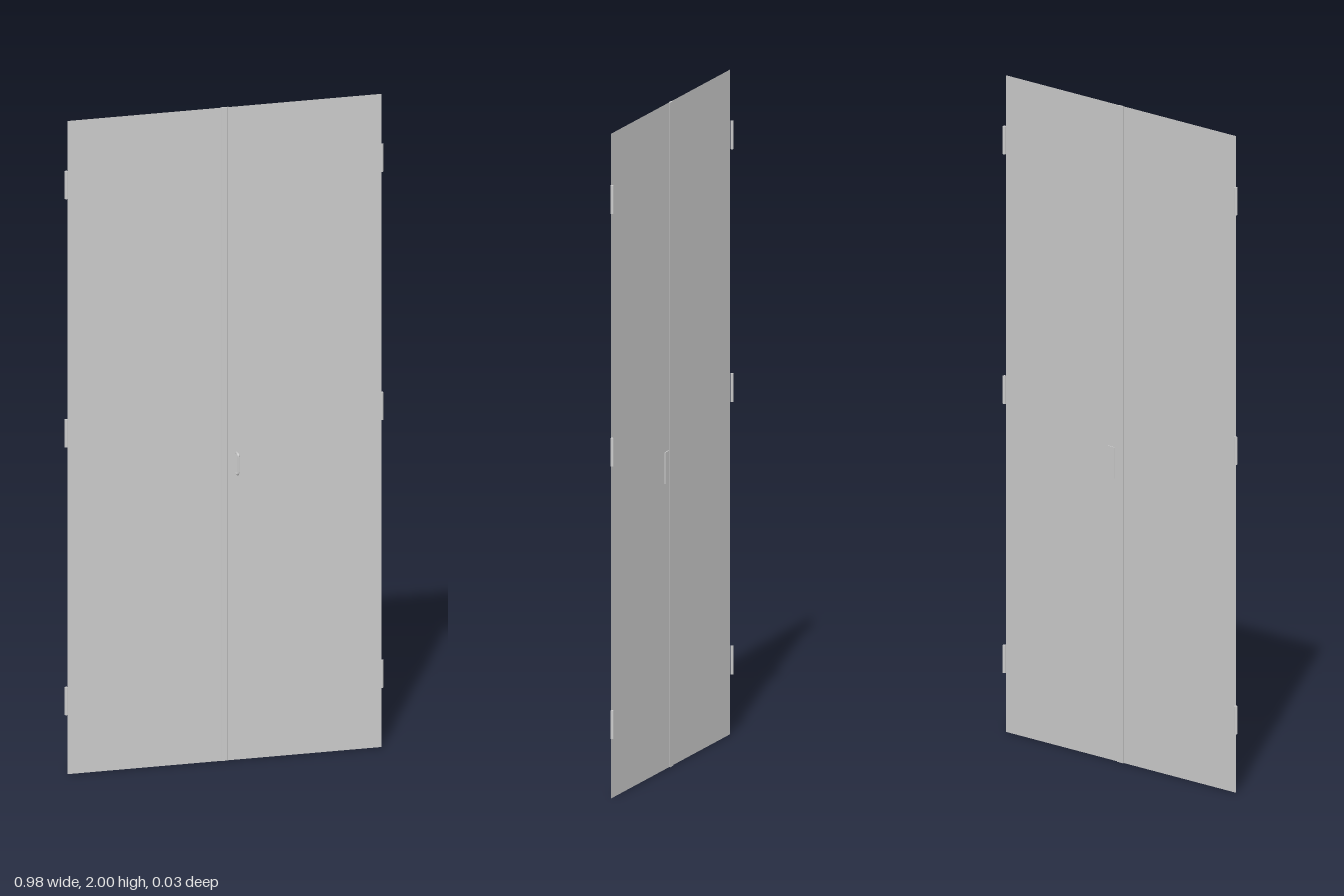
import * as THREE from 'three';

export function createModel() {
  const door = new THREE.Group();
  door.name = 'doubleDoor';
  const mat = new THREE.MeshStandardMaterial({ color: 0xcccccc, flatShading: true });
  const sheet = new THREE.MeshStandardMaterial({ color: 0xcccccc, side: THREE.DoubleSide });
  const add = (name, geo, x, y, z, m = mat) => {
    const mesh = new THREE.Mesh(geo, m);
    mesh.name = name;
    mesh.position.set(x, y, z);
    door.add(mesh);
    return mesh;
  };

  // two thin leaves meeting at the seam
  const seam = -0.003, half = 0.484, z = -0.005;
  for (const [side, s] of [['left', 1], ['right', -1]]) {
    add(side + 'Leaf', new THREE.PlaneGeometry(half, 2), seam + s * half / 2, 1, z, sheet);
    // three hinge barrels on the outer edge
    for (const y of [0.223, 1.043, 1.803]) {
      add(side + 'Hinge', new THREE.CylinderGeometry(0.005, 0.005, 0.085, 8), seam + s * 0.486, y, -0.0095);
    }
  }

  // bevelled cover strip over the seam, wider at the back
  const profile = new THREE.Shape([[-0.013, 0.009], [-0.009, 0.003], [0.009, 0.003], [0.013, 0.009]]
    .map(([x, d]) => new THREE.Vector2(x, d)));
  const strip = new THREE.ExtrudeGeometry(profile, { depth: 2, bevelEnabled: false });
  strip.rotateX(-Math.PI / 2);
  add('coverStrip', strip, seam, 0, 0);

  // push plate on the back
  add('pushPlate', new THREE.BoxGeometry(0.028, 0.095, 0.003), 0.036, 0.908, -0.0085);

  // pull handle on the front, with rounded corners
  const path = new THREE.CurvePath();
  const v = (y, d) => new THREE.Vector3(0, y, d);
  path.add(new THREE.LineCurve3(v(-0.032, -0.006), v(-0.032, 0.002)));
  path.add(new THREE.QuadraticBezierCurve3(v(-0.032, 0.002), v(-0.032, 0.0105), v(-0.022, 0.0105)));
  path.add(new THREE.LineCurve3(v(-0.022, 0.0105), v(0.022, 0.0105)));
  path.add(new THREE.QuadraticBezierCurve3(v(0.022, 0.0105), v(0.032, 0.0105), v(0.032, 0.002)));
  path.add(new THREE.LineCurve3(v(0.032, 0.002), v(0.032, -0.006)));
  add('pullHandle', new THREE.TubeGeometry(path, 40, 0.003, 8), 0.035, 0.907, 0);

  // small round feet of the handle
  for (const s of [-1, 1]) {
    const foot = new THREE.CylinderGeometry(0.005, 0.005, 0.002, 12).rotateX(Math.PI / 2);
    add('handleFoot', foot, 0.035, 0.907 + s * 0.032, -0.004);
  }
  return door;
}
